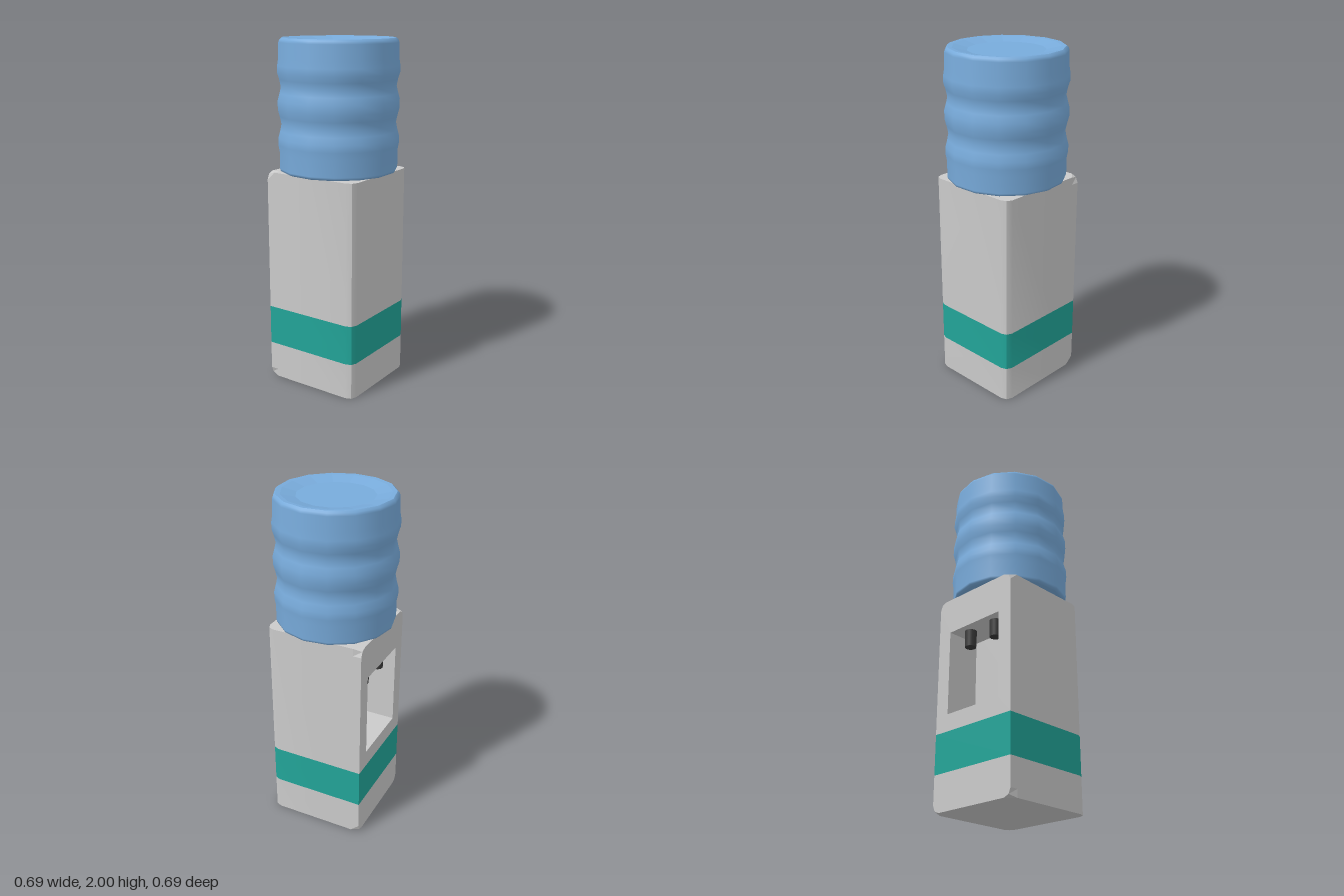
import * as THREE from 'three';
import { toCreasedNormals } from 'three/addons/utils/BufferGeometryUtils.js';

const HALF_W = 0.285, FRONT = 0.293, BACK = -0.293, HEIGHT = 1.255;
const RECESS_Z = -0.083; // back wall of the dispensing recess
const R = 0.045, M = R * 0.293; // corner radius and its midpoint inset

const material = (name, color) => {
  const m = new THREE.MeshStandardMaterial({ color });
  m.name = name;
  return m;
};

const polygon = (points) => new THREE.Shape(points.map(([x, y]) => new THREE.Vector2(x, y)));

// Mirrors a half outline (right side, listed in order) across x = 0
const symmetric = (half) => polygon([...half, ...half.slice().reverse().map(([x, y]) => [-x, y])]);

// Front half of the cabinet: plan outline with rounded front corners, extruded upward
function frontBlock(y0, y1) {
  const shape = symmetric([
    [HALF_W - R, -FRONT], [HALF_W - M, -FRONT + M], [HALF_W, -FRONT + R], [HALF_W, -RECESS_Z],
  ]);
  const g = new THREE.ExtrudeGeometry(shape, { depth: y1 - y0, bevelEnabled: false });
  return toCreasedNormals(g.rotateX(-Math.PI / 2).translate(0, y0, 0), 0.6);
}

// Rear half: elevation outline, extruded backward; outer corners soften only near the back face
function rearBlock(y0, y1, hole) {
  const bottom = y0 === 0
    ? [[HALF_W - R, 0], [HALF_W - M, M], [HALF_W, R]] : [[HALF_W, y0]];
  const top = y1 === HEIGHT
    ? [[HALF_W, y1 - R], [HALF_W - M, y1 - M], [HALF_W - R, y1]] : [[HALF_W, y1]];
  const shape = symmetric([...bottom, ...top]);
  if (hole) shape.holes.push(hole);
  const depth = RECESS_Z - BACK;
  const g = new THREE.ExtrudeGeometry(shape, { depth, steps: 2, bevelEnabled: false });
  const p = g.attributes.position;
  for (let i = 0; i < p.count; i++) {
    const x = p.getX(i), y = p.getY(i), z = p.getZ(i);
    if (z > depth - 1e-4) continue;
    if (z > 1e-4) p.setZ(i, depth - 0.05);
    // square the corner again away from the back face
    if (Math.abs(Math.abs(x) - (HALF_W - M)) < 1e-4) {
      p.setXY(i, Math.sign(x) * HALF_W, y < HEIGHT / 2 ? 0 : HEIGHT);
    }
  }
  g.computeVertexNormals();
  return g.rotateY(Math.PI).translate(0, 0, RECESS_Z);
}

export function createModel() {
  const model = new THREE.Group();
  model.name = 'waterCooler';
  const grey = material('cabinet grey', 0xcacaca);
  const teal = material('band teal', 0x22a498);
  const blue = material('bottle blue', 0x78abdb);
  const dark = material('tap charcoal', 0x3a3a3a);

  const add = (name, geometry, mat, parent = model) => {
    const mesh = new THREE.Mesh(geometry, mat);
    mesh.name = name;
    parent.add(mesh);
    return mesh;
  };

  // Cabinet in three layers, with the recess cut into the upper rear
  const recess = polygon([[-0.195, 0.54], [0.195, 0.54], [0.195, 1.04], [-0.195, 1.04]]);
  const layers = [
    ['base', 0, 0.21, grey], ['band', 0.21, 0.44, teal], ['upperCabinet', 0.44, HEIGHT, grey, recess],
  ];
  for (const [name, y0, y1, mat, hole] of layers) {
    const layer = new THREE.Group();
    layer.name = name;
    add(name + 'Front', frontBlock(y0, y1), mat, layer);
    add(name + 'Rear', rearBlock(y0, y1, hole), mat, layer);
    model.add(layer);
  }

  // Taps hanging from the recess ceiling
  for (const side of [1, -1]) {
    add(side > 0 ? 'leftTap' : 'rightTap', new THREE.CylinderGeometry(0.036, 0.033, 0.1, 12), dark)
      .position.set(side * 0.1, 0.99, -0.22);
  }

  // Fifteen-sided bottle
  const lathe = (points) => new THREE.LatheGeometry(
    points.map(([r, y]) => new THREE.Vector2(r, y)), 15, THREE.MathUtils.degToRad(13.2));
  add('bottleWall', lathe([
    [0.323, 1.256], [0.336, 1.262], [0.34, 1.275], [0.34, 1.37], [0.347, 1.41], [0.347, 1.45],
    [0.336, 1.49], [0.328, 1.53], [0.336, 1.57], [0.347, 1.61], [0.347, 1.66], [0.336, 1.7],
    [0.328, 1.735], [0.336, 1.775], [0.347, 1.81], [0.347, 1.85], [0.34, 1.89],
    [0.338, 1.975], [0.333, 1.99], [0.322, 2],
  ]), blue);
  add('bottleTop', toCreasedNormals(lathe([[0.322, 2], [0.297, 1.998], [0.216, 1.98], [0, 1.98]]), 0.02), blue);
  add('bottleBottom', toCreasedNormals(lathe([[0, 1.256], [0.323, 1.256]]), 0.1), blue);
  return model;
}
